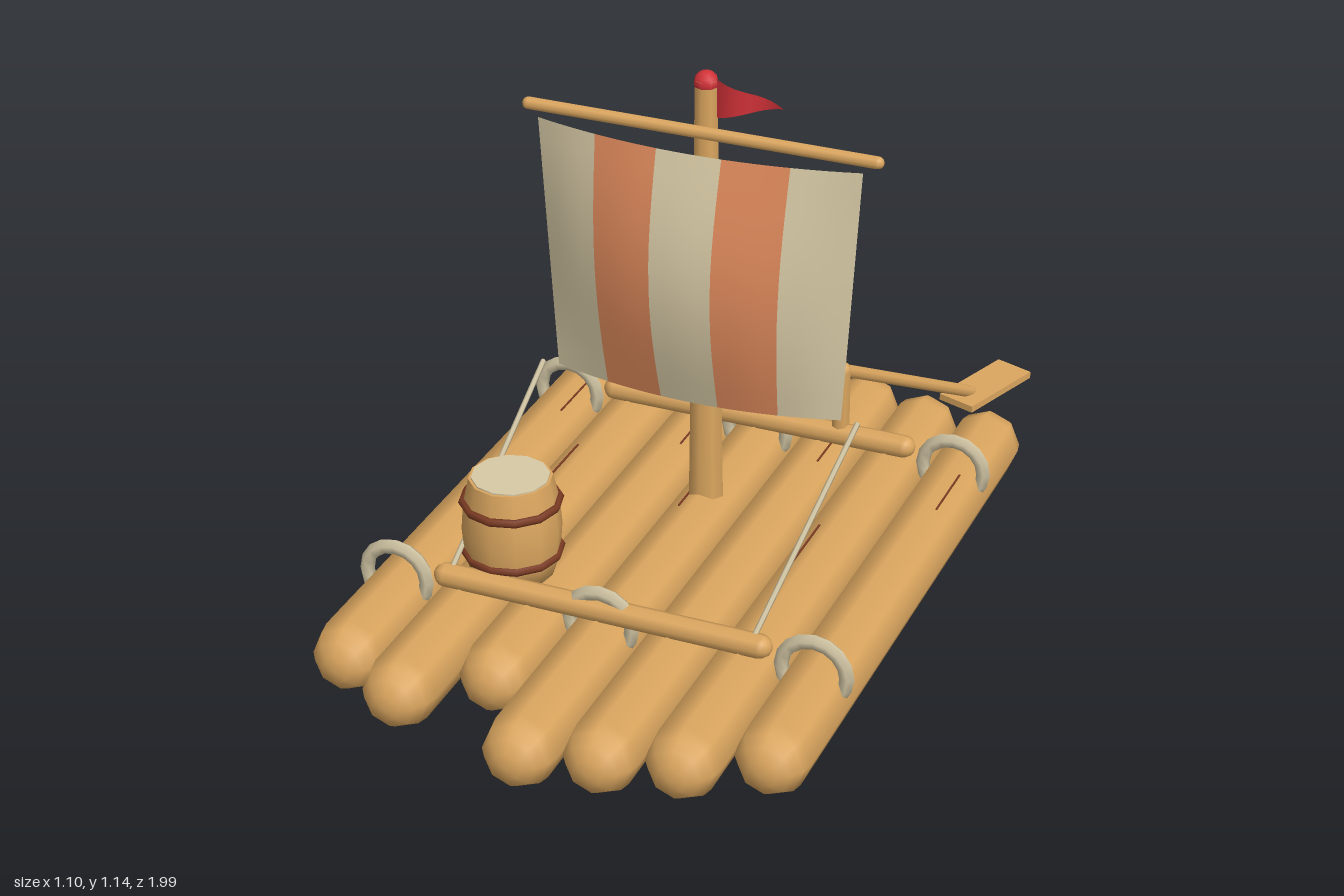
import * as THREE from 'three';

const mat = (name, color, side = THREE.FrontSide) => {
  const m = new THREE.MeshStandardMaterial({ color, side });
  m.name = name;
  return m;
};

export function createModel() {
  const wood = mat('wood', 0xdba65f);
  const bark = mat('darkBrown', 0x7a3a22);
  const rope = mat('rope', 0xcfc3a2);
  const cream = mat('sailCream', 0xd8caa6, THREE.DoubleSide);
  const orange = mat('sailOrange', 0xdf8a5c, THREE.DoubleSide);
  const red = mat('red', 0xd23238, THREE.DoubleSide);

  const model = new THREE.Group();
  model.name = 'raft';
  const add = (name, geometry, material, x = 0, y = 0, z = 0) => {
    const mesh = new THREE.Mesh(geometry, material);
    mesh.name = name;
    mesh.position.set(x, y, z);
    model.add(mesh);
    return mesh;
  };
  // Round pole between two points; capped poles have domed ends
  const pole = (name, a, b, r, material, capped = true) => {
    const p = new THREE.Vector3(...a), q = new THREE.Vector3(...b);
    const dir = q.clone().sub(p), len = dir.length();
    const geo = capped ? new THREE.CapsuleGeometry(r, len - 2 * r, 4, 8)
      : new THREE.CylinderGeometry(r, r, len, 6);
    const mesh = add(name, geo, material);
    mesh.position.copy(p).add(q).multiplyScalar(0.5);
    mesh.quaternion.setFromUnitVectors(new THREE.Vector3(0, 1, 0), dir.normalize());
    return mesh;
  };

  // Deck logs: back and front end of each, from the right side to the left
  const logs = [[-0.605, 0.82], [-0.69, 0.9], [-0.61, 0.775], [-0.735, 0.99],
    [-0.695, 0.95], [-0.655, 0.905], [-0.64, 0.825]];
  logs.forEach(([back, front], i) => {
    const x = (i - 3) * 0.155, r = 0.078;
    const geo = new THREE.CapsuleGeometry(r, front - back - 2 * r, 4, 8).rotateX(Math.PI / 2);
    add('log', geo, wood, x, r + 0.005, (front + back) / 2);
    // Thin cracks in the bark
    add('barkCrack', new THREE.BoxGeometry(0.004, 0.004, 0.16), bark,
      x + (i % 2 ? -0.03 : 0.025), 0.150, back + 0.3 + (i * 0.37) % 0.7);
  });

  // Cross beams with rope lashings
  for (const z of [0.535, -0.328]) {
    pole('crossBeam', [-0.375, 0.177, z], [0.375, 0.177, z], 0.026, wood);
    for (const x of [-0.465, 0, 0.465])
      add('lashing', new THREE.TorusGeometry(0.07, 0.016, 5, 16), rope, x, 0.147, z);
  }

  // Mast with its cap, and the yard
  const mastZ = -0.026;
  add('mast', new THREE.CylinderGeometry(0.025, 0.04, 0.98, 8), wood, 0, 0.635, mastZ);
  add('mastCap', new THREE.SphereGeometry(0.027, 8, 6), red, 0, 1.117, mastZ);
  pole('yard', [-0.4, 1.02, 0.008], [0.4, 1.02, 0.008], 0.014, wood);

  // Pennant tapering to a point, with a gentle wave
  const flag = new THREE.PlaneGeometry(1, 1, 10, 1);
  const fp = flag.attributes.position;
  for (let i = 0; i < fp.count; i++) {
    const u = fp.getX(i) + 0.5, v = fp.getY(i);
    fp.setXYZ(i, 0.02 + 0.15 * u, 1.086 + v * 0.088 * (1 - u),
      mastZ + 0.01 * Math.sin(u * Math.PI * 2));
  }
  flag.computeVertexNormals();
  add('pennant', flag, red);

  // Billowing sail, in five vertical stripes
  for (let s = 0; s < 5; s++) {
    const geo = new THREE.PlaneGeometry(1, 1, 4, 12);
    const p = geo.attributes.position;
    for (let i = 0; i < p.count; i++) {
      const u = -1 + 0.4 * (s + p.getX(i) + 0.5), t = p.getY(i) + 0.5;
      p.setXYZ(i, u * (0.325 + 0.035 * t), 0.42 + 0.577 * t,
        0.02 + (1 - u * u) * (0.05 + 0.055 * Math.sin(Math.PI * t)));
    }
    geo.computeVertexNormals();
    add('sailStripe', geo, s % 2 ? orange : cream);
  }

  // Ropes from the sail's lower corners to the front beam
  for (const s of [-1, 1])
    pole('sheetRope', [s * 0.362, 0.42, 0.02], [s * 0.335, 0.19, 0.545], 0.006, rope, false);

  // Barrel with hoops and a pale lid
  const bx = -0.247, bz = 0.428;
  const profile = [[0, 0.15], [0.088, 0.15], [0.1, 0.2], [0.105, 0.26], [0.1, 0.32], [0.088, 0.378]]
    .map(([r, y]) => new THREE.Vector2(r, y));
  add('barrel', new THREE.LatheGeometry(profile, 12), wood, bx, 0, bz);
  add('barrelTop', new THREE.CylinderGeometry(0.088, 0.088, 0.004, 12), wood, bx, 0.376, bz);
  add('barrelLid', new THREE.CylinderGeometry(0.082, 0.082, 0.004, 12), cream, bx, 0.379, bz);
  for (const y of [0.207, 0.323])
    add('barrelHoop', new THREE.TorusGeometry(0.101, 0.009, 6, 12).rotateX(Math.PI / 2), bark, bx, y, bz);

  // Steering post and oar
  pole('oarPost', [0.198, 0.15, -0.332], [0.198, 0.356, -0.332], 0.021, wood);
  pole('oarShaft', [0.198, 0.335, -0.335], [0.348, 0.055, -0.835], 0.015, wood);
  const blade = add('oarBlade', new THREE.BoxGeometry(0.095, 0.016, 0.228), wood, 0.365, 0.055, -0.875);
  blade.rotation.y = -0.336;

  return model;
}
